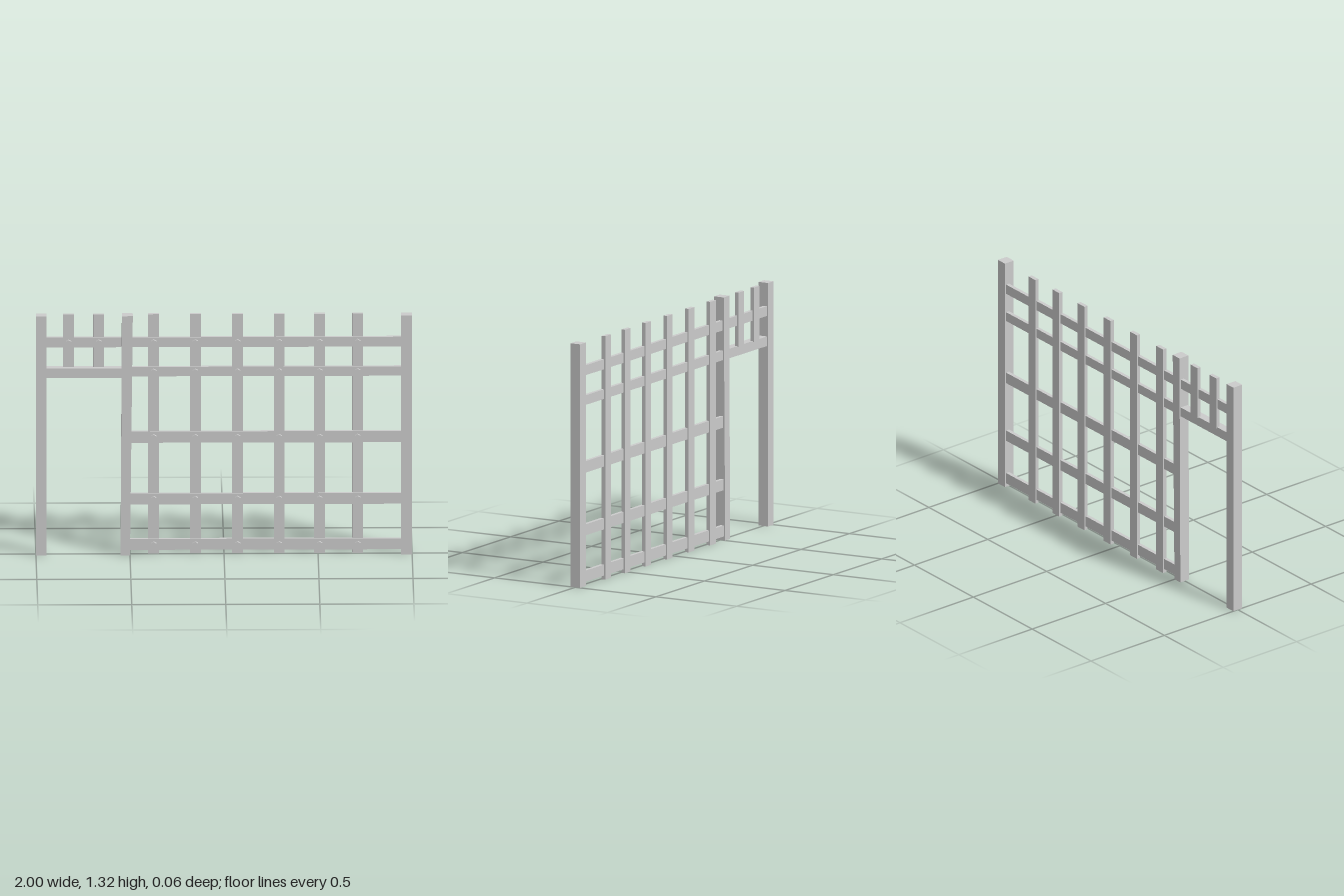
import * as THREE from 'three';

export function createModel() {
  const model = new THREE.Group();
  const material = new THREE.MeshStandardMaterial({ color: 0xcccccc, flatShading: true });

  const add = (name, geometry) => {
    const mesh = new THREE.Mesh(geometry, material);
    mesh.name = name;
    model.add(mesh);
    return mesh;
  };
  // Box given by its limits on each axis
  const beam = (name, x0, x1, y0, y1, z0, z1) => {
    const geometry = new THREE.BoxGeometry(x1 - x0, y1 - y0, z1 - z0);
    geometry.translate((x0 + x1) / 2, (y0 + y1) / 2, (z0 + z1) / 2);
    return add(name, geometry);
  };

  const top = 1.32;

  // Square end posts
  beam('rightPost', -1, -0.943, 0, top, -0.03, 0.03);
  beam('leftPost', 0.94, 1, 0, top, -0.03, 0.03);

  // Gate post, leaning slightly outward and narrower at the foot
  const gatePost = beam('gatePost', -0.543, -0.485, 0, top, -0.03, 0.03);
  const p = gatePost.geometry.attributes.position;
  for (let i = 0; i < p.count; i++) {
    if (p.getY(i) < 0.1) p.setX(i, p.getX(i) < -0.51 ? -0.55 : -0.5);
  }
  gatePost.geometry.computeVertexNormals();

  // Lintel over the opening
  beam('lintel', -0.95, -0.52, 0.978, 1.03, -0.024, 0.023);

  // Upright slats: tall ones in the fence, short ones above the lintel
  const tall = [-0.374, -0.152, 0.072, 0.294, 0.508, 0.711];
  const short = [-0.826, -0.666];
  for (const x of tall) beam('slat', x - 0.029, x + 0.029, 0, top, -0.03, -0.008);
  for (const x of short) beam('shortSlat', x - 0.029, x + 0.029, 1.025, top, -0.03, -0.008);

  // Horizontal rails [centre height, thickness, right end] with a peg at every slat
  const rails = [
    [1.167, 0.054, -0.95],
    [1.005, 0.052, -0.515],
    [0.643, 0.062, -0.515],
    [0.302, 0.06, -0.515],
    [0.051, 0.06, -0.515],
  ];
  const pegGeometry = new THREE.CylinderGeometry(0.017, 0.017, 0.022, 6);
  pegGeometry.rotateX(Math.PI / 2);
  rails.forEach(([y, h, x0], i) => {
    beam('rail', x0, 0.95, y - h / 2, y + h / 2, -0.022, -0.002);
    for (const x of i === 0 ? [...short, ...tall] : tall) {
      add('peg', pegGeometry).position.set(x, y, 0.003);
    }
  });

  return model;
}
